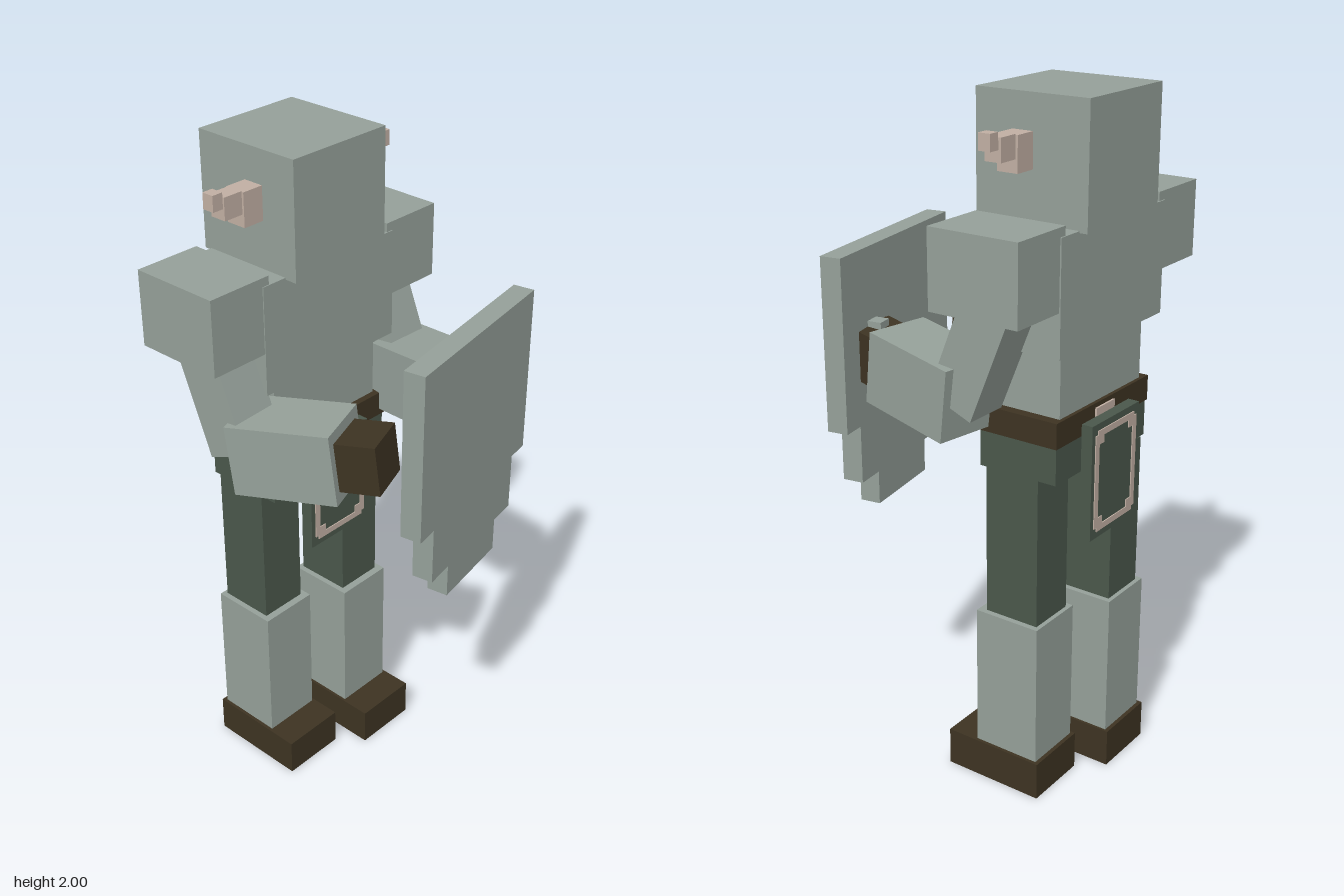
import * as THREE from 'three';

const mat = (name, color) => {
  const m = new THREE.MeshStandardMaterial({ color });
  m.name = name;
  return m;
};

export function createModel() {
  const steel = mat('steel grey', 0x95a099);
  const leather = mat('dark leather', 0x3d3322);
  const cloth = mat('dark green cloth', 0x4a574b);
  const bone = mat('pale bone', 0xc1afa3);

  const model = new THREE.Group();
  model.name = 'armouredFigure';

  const add = (parent, name, geometry, material) => {
    const mesh = new THREE.Mesh(geometry, material);
    mesh.name = name;
    parent.add(mesh);
    return mesh;
  };
  // Box given by its limits on each axis
  const span = (name, material, [x0, x1], [y0, y1], [z0, z1], parent = model) => {
    const mesh = add(parent, name, new THREE.BoxGeometry(Math.abs(x1 - x0), y1 - y0, z1 - z0), material);
    mesh.position.set((x0 + x1) / 2, (y0 + y1) / 2, (z0 + z1) / 2);
    return mesh;
  };

  // Head and torso
  span('helmet', steel, [-0.17, 0.17], [1.67, 2], [-0.39, -0.05]);
  span('chest', steel, [-0.25, 0.25], [1.36, 1.675], [-0.367, -0.088]);
  span('waist', steel, [-0.2, 0.2], [1.17, 1.36], [-0.337, -0.115]);
  span('belt', leather, [-0.23, 0.23], [1.105, 1.178], [-0.348, -0.095]);
  span('hips', cloth, [-0.225, 0.225], [1.0, 1.105], [-0.344, -0.1]);

  // Mirrored parts, with one leg stepping forward
  for (const s of [1, -1]) {
    const side = s > 0 ? 'left' : 'right';
    const sx = (a, b) => [s * a, s * b];

    span(side + 'HornBase', bone, sx(0.17, 0.235), [1.81, 1.905], [-0.225, -0.163]);
    span(side + 'HornMiddle', bone, sx(0.235, 0.295), [1.845, 1.907], [-0.218, -0.169]);
    span(side + 'HornTip', bone, sx(0.295, 0.328), [1.876, 1.92], [-0.21, -0.174]);
    span(side + 'Shoulder', steel, sx(0.227, 0.428), [1.483, 1.7], [-0.363, -0.091]);

    const dz = s > 0 ? 0 : -0.075;
    span(side + 'Thigh', cloth, sx(0.055, 0.203), [0.54, 1.0], [-0.273 + dz, -0.103 + dz]);
    span(side + 'Greave', steel, sx(0.038, 0.22), [0.115, 0.545], [-0.286 + dz, -0.08 + dz]);
    span(side + 'Boot', leather, sx(0.03, 0.23), [0, 0.115], [-0.298 + dz, 0.015 + dz]);

    const upper = add(model, side + 'UpperArm', new THREE.BoxGeometry(0.136, 0.38, 0.145), steel);
    upper.position.set(s * 0.309, 1.393, -0.184);
    upper.rotation.x = -0.384;

    // Forearm and hand, swung inwards and raised slightly
    const arm = new THREE.Group();
    arm.name = side + 'Forearm';
    arm.rotation.order = 'YXZ';
    arm.rotation.set(-0.12, s > 0 ? -0.17 : 0.35, 0);
    arm.position.set(s > 0 ? 0.283 : -0.256, 1.24, 0.018);
    add(arm, side + 'Bracer', new THREE.BoxGeometry(0.19, 0.205, 0.3), steel);
    add(arm, side + 'Hand', new THREE.BoxGeometry(0.142, 0.142, 0.13), leather).position.z = 0.2;
    model.add(arm);
  }

  // Hanging panels front and back, each with a notched border
  const notched = (Path, w, h, n) => {
    const p = new Path();
    const pts = [
      [w - n, -h], [w - n, -h + n], [w, -h + n], [w, h - n], [w - n, h - n], [w - n, h],
      [n - w, h], [n - w, h - n], [-w, h - n], [-w, n - h], [n - w, n - h], [n - w, -h],
    ];
    p.setFromPoints(pts.map(([x, y]) => new THREE.Vector2(x, y)));
    p.closePath();
    return p;
  };
  const border = notched(THREE.Shape, 0.103, 0.148, 0.012);
  border.holes.push(notched(THREE.Path, 0.085, 0.13, 0.022));
  for (const [side, z, turn] of [['front', -0.079, 0], ['back', -0.37, Math.PI]]) {
    const panel = new THREE.Group();
    panel.name = side + 'Panel';
    panel.position.set(0, 0.975, z);
    panel.rotation.y = turn;
    add(panel, side + 'PanelCloth', new THREE.BoxGeometry(0.236, 0.335, 0.034), cloth);
    add(panel, side + 'PanelBorder',
      new THREE.ExtrudeGeometry(border, { depth: 0.004, bevelEnabled: false }), bone).position.z = 0.016;
    model.add(panel);
  }
  span('backClasp', bone, [-0.045, 0.045], [1.13, 1.165], [-0.354, -0.347]);
  span('frontClasp', bone, [-0.045, 0.045], [1.13, 1.165], [-0.096, -0.089]);

  // Stepped shield held by the left hand
  const shield = new THREE.Group();
  shield.name = 'shield';
  shield.position.set(0.1125, 0, 0.306);
  shield.rotation.y = 0.172;
  for (const [i, [w, y0, y1]] of [[0.584, 1.065, 1.56], [0.446, 0.895, 1.065], [0.27, 0.795, 0.895]].entries())
    span('shieldTier' + (i + 1), steel, [-w / 2, w / 2], [y0, y1], [-0.031, 0.031], shield);
  span('shieldHandle', steel, [0.121, 0.166], [1.16, 1.355], [-0.072, -0.031], shield);
  model.add(shield);

  return model;
}
